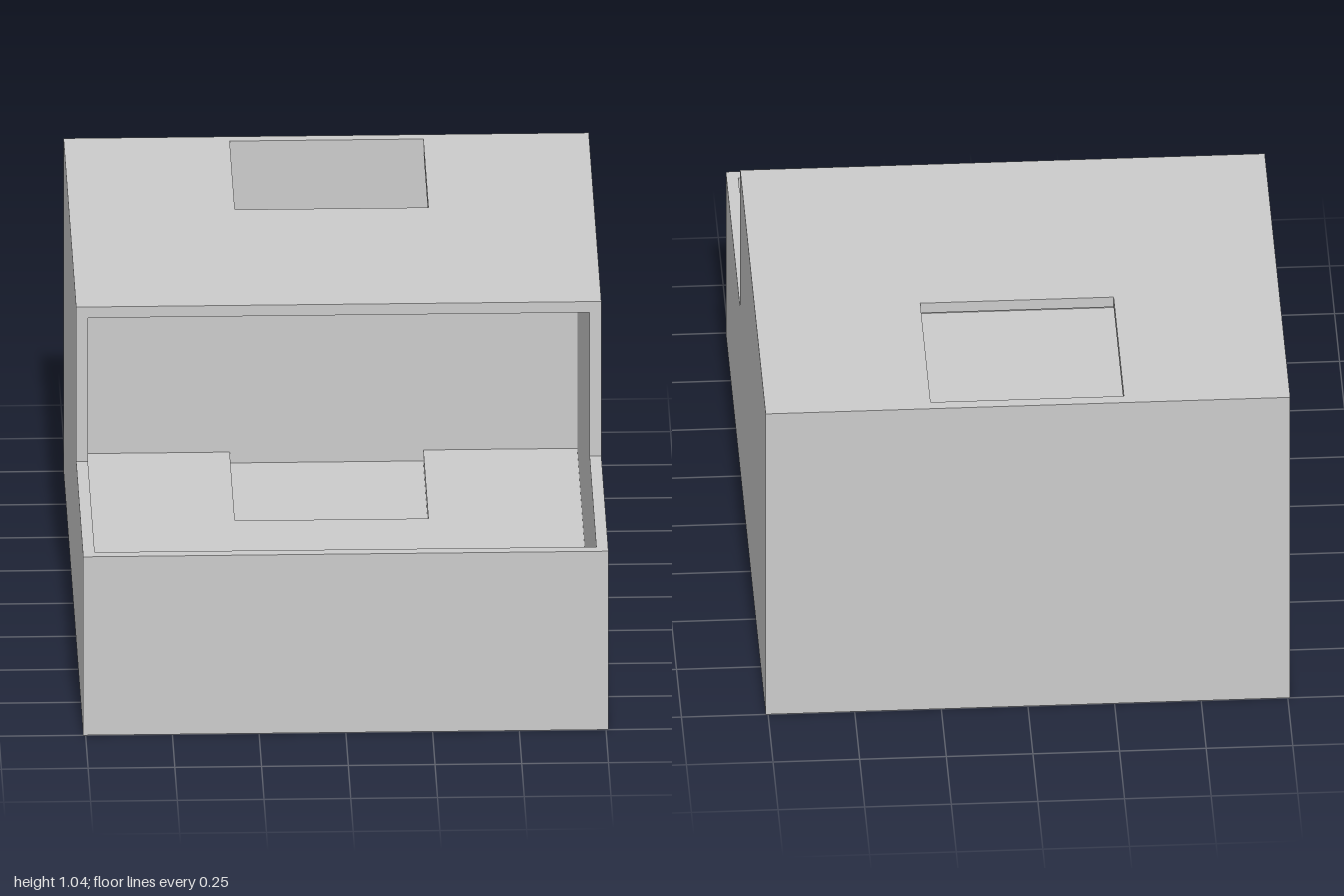
import * as THREE from 'three';

const W = 0.757;               // half width
const T = 0.034;               // wall thickness
const H = 1.037, LOW = 0.556;  // roof height and front wall height
const STEP = 0.278;            // z where the roof ends
const HX = 0.279, HZ = -0.447; // half width and front edge of the hatch

export function createModel() {
  const group = new THREE.Group();
  const material = new THREE.MeshStandardMaterial({ color: 0xcccccc, flatShading: true });

  const add = (name, geometry) => {
    const mesh = new THREE.Mesh(geometry, material);
    mesh.name = name;
    group.add(mesh);
    return mesh;
  };
  // Box given by its lowest and highest corners
  const box = (name, a, b) => add(name,
    new THREE.BoxGeometry(b[0] - a[0], b[1] - a[1], b[2] - a[2])
      .translate((a[0] + b[0]) / 2, (a[1] + b[1]) / 2, (a[2] + b[2]) / 2));
  const shape = (points) => new THREE.Shape(points.map(([x, y]) => new THREE.Vector2(x, y)));
  // Horizontal plate from a plan drawn in x and -z
  const plate = (name, plan, y) => add(name,
    new THREE.ExtrudeGeometry(plan, { depth: T, bevelEnabled: false })
      .rotateX(-Math.PI / 2).translate(0, y, 0));

  const inX = W - T, inZ = 1 - T;

  // Stepped side walls
  const profile = shape([[-1, 0], [1, 0], [1, H], [-STEP, H], [-STEP, LOW], [-1, LOW]]);
  for (const [name, x] of [['rightWall', -W], ['leftWall', inX]]) {
    add(name, new THREE.ExtrudeGeometry(profile, { depth: T, bevelEnabled: false })
      .rotateY(Math.PI / 2).translate(x, 0, 0));
  }

  // Front and back walls
  box('frontWall', [-inX, 0, inZ], [inX, LOW, 1]);
  box('backWall', [-inX, 0, -1], [inX, H, -inZ]);

  // Base, and a floor layer notched against the back wall
  box('base', [-inX, 0, -inZ], [inX, T, inZ]);
  plate('floor', shape([
    [-inX, -inZ], [inX, -inZ], [inX, inZ], [HX, inZ],
    [HX, -HZ], [-HX, -HZ], [-HX, inZ], [-inX, inZ],
  ]), T);

  // Roof with the hatch opening above the floor recess
  plate('roof', shape([
    [-inX, -STEP], [inX, -STEP], [inX, inZ], [HX, inZ],
    [HX, -HZ], [-HX, -HZ], [-HX, inZ], [-inX, inZ],
  ]), H - T);

  return group;
}
